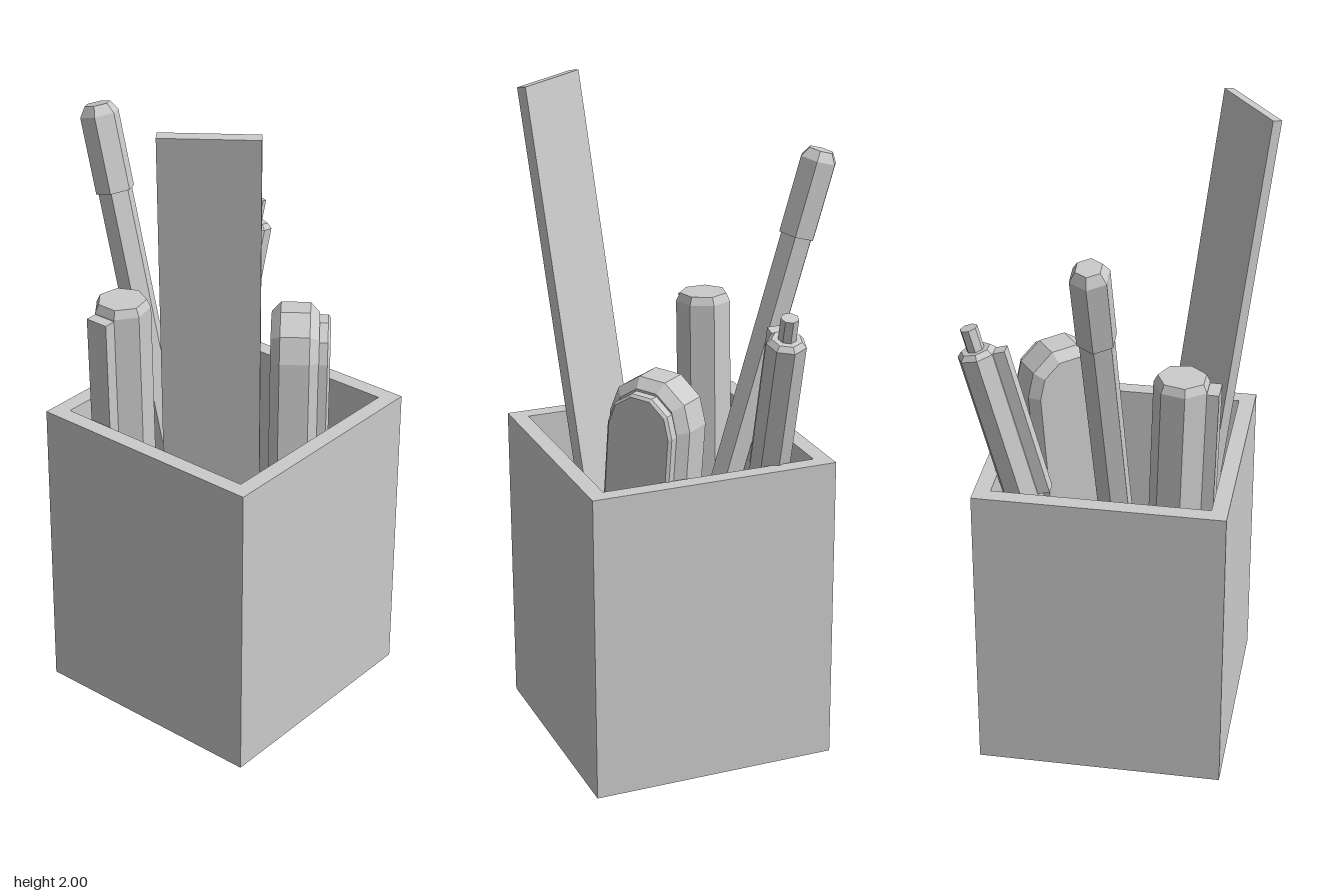
import * as THREE from 'three';

const grey = new THREE.MeshStandardMaterial({ color: 0xcccccc, flatShading: true });
const UP = new THREE.Vector3(0, 1, 0);

function part(name, geometry, parent) {
  const mesh = new THREE.Mesh(geometry, grey);
  mesh.name = name;
  parent.add(mesh);
  return mesh;
}

// Faceted barrel turned from [radius, height] pairs; heptagons get a flat on -x for the clip
function barrel(profile, sides) {
  const g = new THREE.LatheGeometry(profile.map(p => new THREE.Vector2(...p)), sides);
  if (sides === 7) g.rotateY(Math.PI / 2);
  return g;
}

// Group whose local y axis runs from one point to another
function leaning(name, from, to, parent) {
  const a = new THREE.Vector3(...from), d = new THREE.Vector3(...to).sub(a);
  const group = new THREE.Group();
  group.name = name;
  group.position.copy(a);
  group.userData.length = d.length();
  group.quaternion.setFromUnitVectors(UP, d.normalize());
  parent.add(group);
  return group;
}

// Group turned about y, then tilted sideways in its own plane
function turned(name, pos, yaw, tilt, parent) {
  const group = new THREE.Group();
  group.name = name;
  group.position.set(...pos);
  group.rotation.set(0, yaw, tilt, 'YXZ');
  parent.add(group);
  return group;
}

function square(h, Type) {
  return new Type([[-h, -h], [h, -h], [h, h], [-h, h]].map(p => new THREE.Vector2(...p)));
}

// Upright slab with a faceted round top and chamfered edges, z from z0 to z0 + thick
function archSlab(half, bottom, top, z0, thick, bevel) {
  const r = half - bevel, cy = top - half, pts = [new THREE.Vector2(-r, bottom + bevel), new THREE.Vector2(r, bottom + bevel)];
  for (let i = 0; i <= 5; i++) {
    const t = Math.PI * i / 5;
    pts.push(new THREE.Vector2(r * Math.cos(t), cy + r * 1.04 * Math.sin(t)));
  }
  const g = new THREE.ExtrudeGeometry(new THREE.Shape(pts), {
    depth: thick - 2 * bevel, bevelEnabled: true, bevelSize: bevel, bevelThickness: bevel, bevelSegments: 1,
  });
  return g.translate(0, 0, z0 + bevel);
}

export function createModel() {
  const model = new THREE.Group();
  model.name = 'penHolder';

  // Square cup with an open top
  const cup = new THREE.Group();
  cup.name = 'cup';
  cup.position.z = 0.08;
  model.add(cup);
  const outline = square(0.38, THREE.Shape);
  outline.holes.push(square(0.33, THREE.Path));
  const walls = new THREE.ExtrudeGeometry(outline, { depth: 0.955, bevelEnabled: false });
  part('cupWalls', walls.rotateX(-Math.PI / 2), cup);
  part('cupFloor', new THREE.BoxGeometry(0.66, 0.05, 0.66).translate(0, 0.025, 0), cup);

  // Flat ruler leaning on the left corner, hung from its top edge
  const ruler = turned('ruler', [-0.354, 1.998, 0.312], 0.6435, 0.15, model);
  part('rulerBlade', new THREE.BoxGeometry(0.03, 1.95, 0.28).translate(0, -0.975, 0), ruler);

  // Tall capped pen
  const tall = leaning('cappedPen', [-0.055, 0.06, 0.075], [0, 1.795, -0.415], model);
  let L = tall.userData.length;
  part('penBody', barrel([[0, 0], [0.012, 0], [0.053, 0.09], [0.053, L - 0.25]], 6), tall);
  part('penCap', barrel([[0.05, L - 0.265], [0.06, L - 0.265], [0.06, L - 0.03], [0.04, L], [0, L]], 6), tall);

  // Push-button pen with a clip
  const click = leaning('clickPen', [0.03, 0.06, -0.147], [0.408, 1.43, -0.13], model);
  L = click.userData.length;
  part('clickPenBody', barrel([[0, 0], [0.012, 0], [0.06, 0.12], [0.06, L - 0.085], [0.045, L - 0.07], [0, L - 0.07]], 7), click);
  part('clickPenButton', barrel([[0.027, L - 0.08], [0.027, L], [0, L]], 7), click);
  part('clickPenClip', new THREE.BoxGeometry(0.045, 0.48, 0.042).translate(-0.068, L - 0.325, 0), click);

  // Thick marker with a clip
  const marker = leaning('marker', [-0.19, 0.05, -0.13], [-0.222, 1.325, -0.13], model);
  L = marker.userData.length;
  part('markerBody', barrel([[0, 0], [0.085, 0], [0.085, L - 0.025], [0.073, L], [0, L]], 7), marker);
  part('markerClip', new THREE.BoxGeometry(0.045, 0.5, 0.074).translate(-0.09, L - 0.28, 0), marker);

  // Round-topped case with a raised panel on its front
  const knife = turned('roundedCase', [0.134, 0.05, 0.237], 0.6435, -0.075, model);
  part('caseBody', archSlab(0.135, 0, 1.19, -0.0725, 0.145, 0.028), knife);
  part('casePanel', archSlab(0.108, 0.1, 1.155, 0.05, 0.056, 0.008), knife);

  return model;
}
